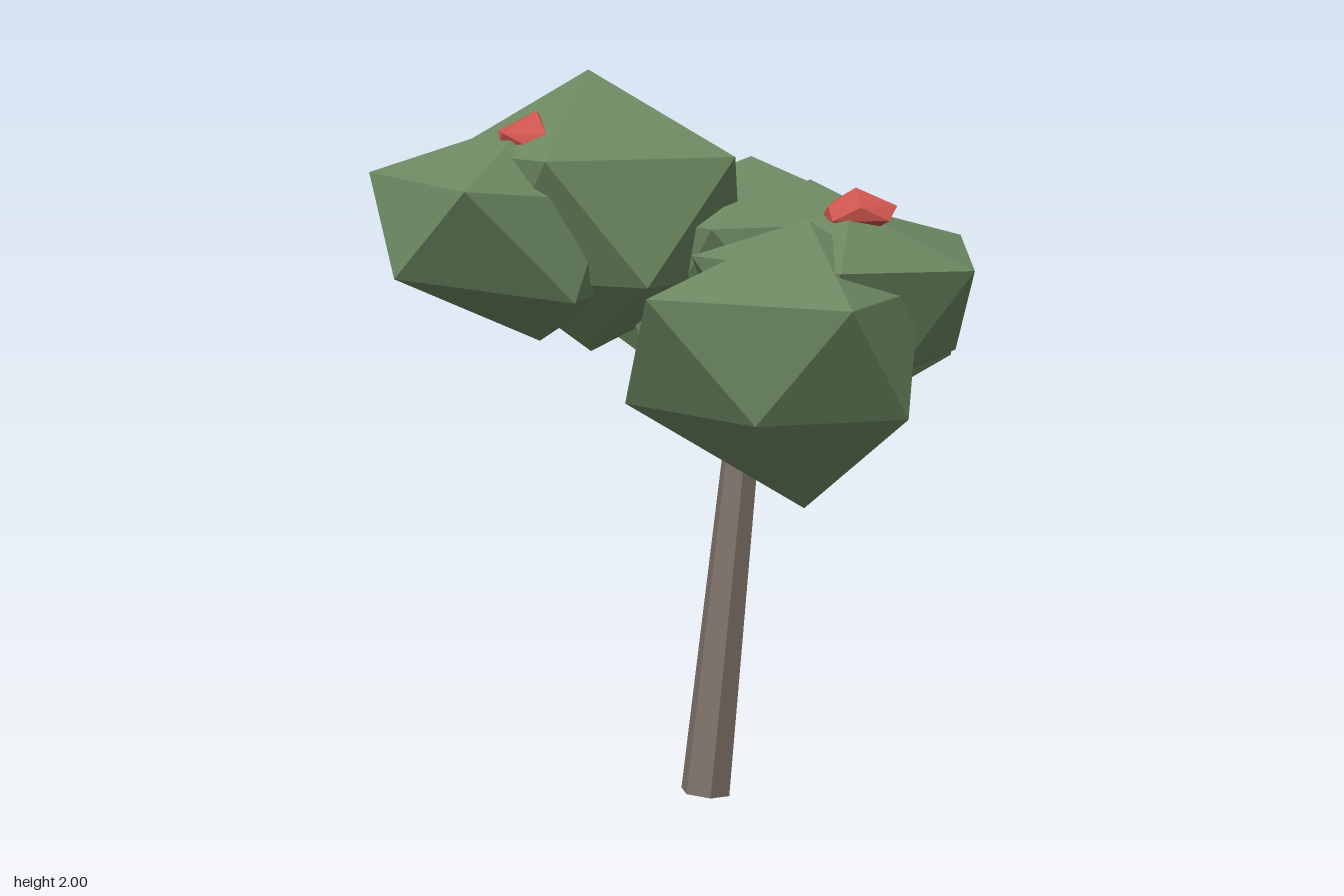
import * as THREE from 'three';

const leaf = new THREE.MeshStandardMaterial({ color: 0x6b8760 });
leaf.name = 'leaf green';
const bark = new THREE.MeshStandardMaterial({ color: 0x7f7269 });
bark.name = 'bark brown';
const red = new THREE.MeshStandardMaterial({ color: 0xcb554e });
red.name = 'fruit red';
for (const m of [leaf, bark, red]) m.flatShading = true;

// Irregular twenty-sided clump: a top corner, two staggered five-corner
// cross-sections (each a height and [x, z, rise] corners, clockwise from above)
// and a bottom corner.
function clump(name, material, top, [upperY, upperRing], [lowerY, lowerRing], bottom) {
  const upper = upperRing.map(([x, z, rise = 0]) => [x, upperY + rise, z]);
  const lower = lowerRing.map(([x, z, rise = 0]) => [x, lowerY + rise, z]);
  const corners = [];
  for (let i = 0; i < 5; i++) {
    const j = (i + 1) % 5;
    corners.push(top, upper[j], upper[i]);
    corners.push(upper[i], upper[j], lower[i]);
    corners.push(lower[i], upper[j], lower[j]);
    corners.push(bottom, lower[i], lower[j]);
  }
  const geo = new THREE.BufferGeometry();
  geo.setAttribute('position', new THREE.Float32BufferAttribute(corners.flat(), 3));
  geo.computeVertexNormals();
  const mesh = new THREE.Mesh(geo, material);
  mesh.name = name;
  return mesh;
}

export function createModel() {
  const tree = new THREE.Group();
  tree.name = 'tree';

  // Leaning hexagonal trunk, running up into the leaves
  const base = new THREE.Vector3(-0.002, 0.01, 0.077);
  const tip = new THREE.Vector3(0.06, 1.32, -0.075);
  const axis = tip.clone().sub(base);
  const trunk = new THREE.Mesh(
    new THREE.CylinderGeometry(0.044, 0.0705, axis.length(), 6, 1, false, Math.PI / 4), bark);
  trunk.name = 'trunk';
  trunk.position.copy(base).lerp(tip, 0.5);
  trunk.quaternion.setFromUnitVectors(new THREE.Vector3(0, 1, 0), axis.normalize());
  tree.add(trunk);

  // Three pairs of overlapping leaf clumps
  const leaves = new THREE.Group();
  leaves.name = 'leaves';
  leaves.add(
    clump('rightUpperClump', leaf, [-0.35, 2, 0.12],
      [1.78, [[0.11, 0.1], [-0.2, 0.52], [-0.65, 0.35], [-0.73, -0.13], [-0.25, -0.23]]],
      [1.45, [[0, 0.35], [-0.45, 0.42], [-0.68, 0.1], [-0.46, -0.21], [0.04, -0.04]]],
      [-0.35, 1.23, 0.12]),
    clump('rightFrontClump', leaf, [-0.43, 1.87, 0.28],
      [1.73, [[-0.32, 0.7, -0.02], [-0.79, 0.52], [-0.765, -0.03], [-0.35, -0.1], [-0.14, 0.33, -0.06]]],
      [1.45, [[-0.575, 0.68, 0.02], [-0.69, 0.2], [-0.45, -0.05], [-0.2, 0.1], [-0.16, 0.45, -0.04]]],
      [-0.42, 1.27, 0.26]),
    clump('backClump', leaf, [0.1, 1.695, -0.3],
      [1.51, [[0.1, -0.74], [0.48, -0.42], [0.33, 0.05], [-0.15, 0.05], [-0.35, -0.4]]],
      [1.18, [[0.36, -0.66], [0.48, -0.16], [0.1, 0.13], [-0.26, -0.16], [-0.17, -0.58, 0.02]]],
      [0.1, 0.97, -0.3]),
    clump('middleClump', leaf, [-0.03, 1.76, -0.2],
      [1.6, [[0.44, -0.21], [0.12, 0.23], [-0.37, 0.02], [-0.35, -0.4, -0.08], [0.05, -0.5]]],
      [1.23, [[0.35, 0.02], [-0.17, 0.12], [-0.5, -0.2], [-0.17, -0.55], [0.33, -0.42]]],
      [-0.03, 1.1, -0.2]),
    clump('leftFrontClump', leaf, [0.45, 1.645, 0.29],
      [1.47, [[0.755, 0.595], [0.26, 0.735, 0.01], [0.12, 0.28], [0.4, -0.05], [0.68, 0.13]]],
      [1.18, [[0.52, 0.65], [0.06, 0.54], [0.15, 0.08], [0.58, 0], [0.78, 0.36]]],
      [0.46, 0.915, 0.32]),
    clump('leftSideClump', leaf, [0.45, 1.665, 0.08],
      [1.54, [[0.79, 0.04, -0.025], [0.65, 0.47], [0.17, 0.4, 0.01], [0.25, 0], [0.54, -0.36, 0.02]]],
      [1.28, [[0.68, 0.22], [0.42, 0.42], [0.15, 0.2], [0.35, -0.22], [0.64, -0.15]]],
      [0.45, 1.17, 0.08]),
  );
  tree.add(leaves);

  // Red fruits sitting on the leaves
  tree.add(
    clump('leftFruit', red, [0.47, 1.715, 0.09],
      [1.67, [[0.57, 0.05], [0.52, 0.15], [0.43, 0.16], [0.38, 0.06], [0.46, 0]]],
      [1.635, [[0.575, 0.1], [0.46, 0.19], [0.385, 0.12], [0.41, 0], [0.53, 0.02]]],
      [0.47, 1.58, 0.09]),
    clump('rightFruit', red, [-0.4, 1.895, 0.29],
      [1.84, [[-0.29, 0.39], [-0.42, 0.41], [-0.5, 0.33], [-0.45, 0.28, 0.03], [-0.38, 0.28, 0.03]]],
      [1.805, [[-0.33, 0.41], [-0.45, 0.39], [-0.46, 0.31], [-0.41, 0.29], [-0.33, 0.34]]],
      [-0.4, 1.78, 0.35]),
  );
  return tree;
}
